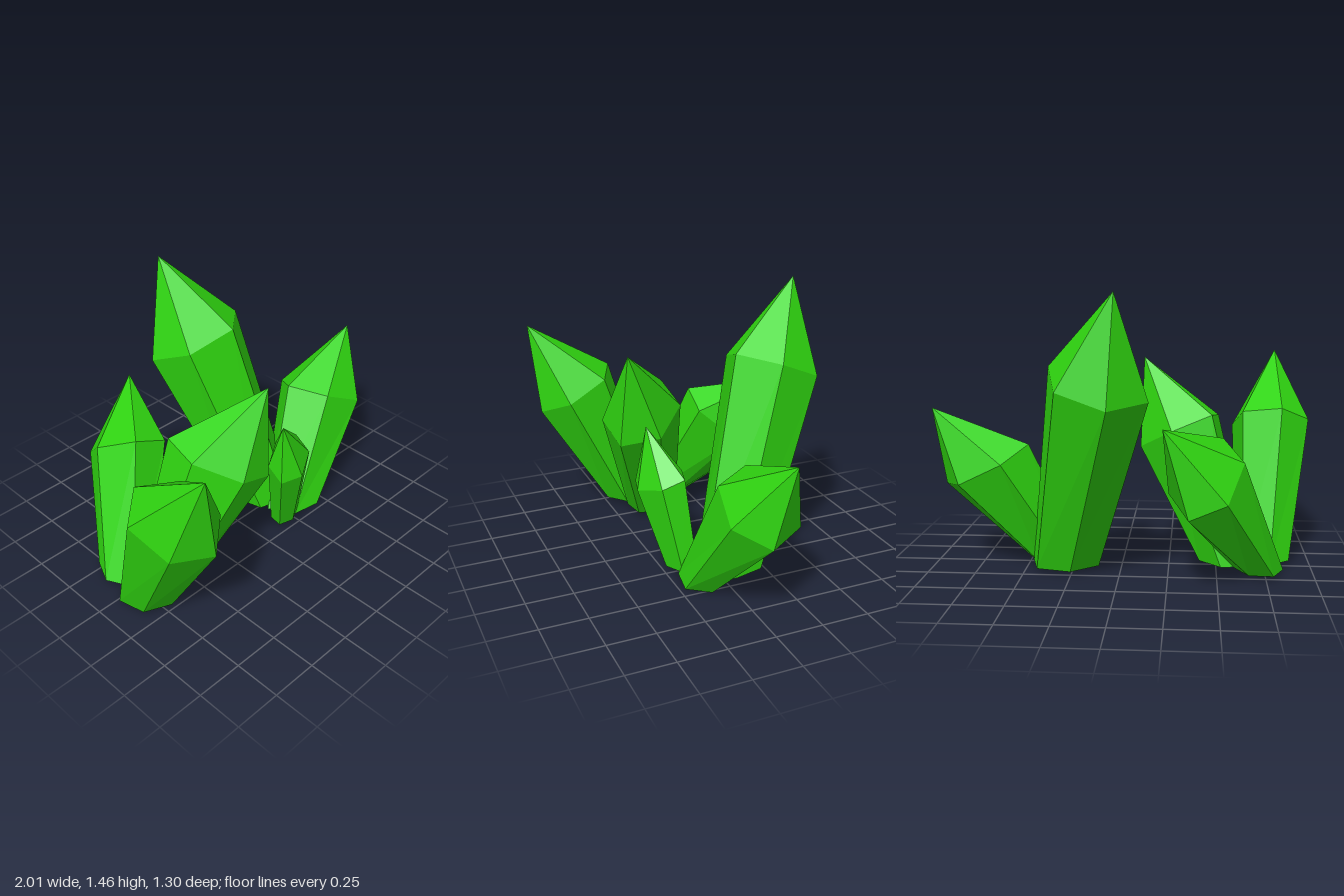
import * as THREE from 'three';

// Each crystal: shoulder hexagon (centre plus two edge vectors u, v), tip,
// and a smaller hexagonal foot lying flat on the ground.
const CRYSTALS = [
  { name: 'frontRightCrystal', centre: [-0.80, 0.72, 0.39], u: [-0.155, -0.075, 0.13], v: [-0.05, 0.105, -0.22],
    tip: [-0.84, 1.11, 0.645], foot: [-0.75, 0.02, 0.09], taper: 0.68 },
  { name: 'frontMiddleCrystal', centre: [-0.30, 0.70, 0.165], u: [-0.21, 0.085, 0.03], v: [0.04, 0.025, -0.215],
    tip: [-0.10, 1.09, 0.31], foot: [-0.55, 0.02, 0.02], taper: 0.66 },
  { name: 'backRightCrystal', centre: [-0.44, 0.55, -0.40], u: [-0.10, -0.09, -0.20], v: [-0.085, 0.17, 0.19],
    tip: [-0.23, 0.82, -0.605], foot: [-0.72, 0.02, -0.13], taper: 0.68 },
  { name: 'leaningLeftCrystal', centre: [0.72, 0.54, -0.04], u: [-0.11, 0.03, -0.20], v: [-0.12, 0.085, 0.16],
    tip: [1.0, 0.845, -0.085], foot: [0.36, 0, 0.08], taper: 0.7 },
  { name: 'tallBackCrystal', centre: [0.09, 1.01, -0.42], u: [0.06, 0.105, 0.235], v: [0.19, -0.025, -0.17],
    tip: [0.0, 1.455, -0.585], foot: [0.295, 0.02, -0.09], taper: 0.72 },
  { name: 'smallFrontCrystal', centre: [0.15, 0.49, 0.24], u: [-0.02, -0.045, 0.115], v: [0.145, 0.045, -0.08],
    tip: [0.055, 0.757, 0.275], foot: [0.225, 0.02, 0.155], taper: 0.68 },
];

function crystalGeometry({ centre, u, v, tip, foot, taper }) {
  const vec = (a) => new THREE.Vector3(...a);
  let a = vec(u), b = vec(v);
  if (a.z * b.x - a.x * b.z < 0) [a, b] = [b, a]; // keep rings counter-clockwise from above

  // Six corner offsets of the hexagon
  const half = [a, a.clone().add(b), b];
  const offsets = [...half, ...half.map((p) => p.clone().negate())];
  const shoulder = offsets.map((o) => vec(centre).add(o));
  const base = offsets.map((o) => vec(foot).add(new THREE.Vector3(o.x * taper, 0, o.z * taper)));
  const top = vec(tip), bottom = vec(foot);

  const points = [];
  for (let i = 0; i < 6; i++) {
    const j = (i + 1) % 6;
    points.push(base[i], base[j], shoulder[j], base[i], shoulder[j], shoulder[i]); // side
    points.push(shoulder[i], shoulder[j], top); // pointed end
    points.push(base[j], base[i], bottom); // underside
  }
  const geometry = new THREE.BufferGeometry().setFromPoints(points);
  geometry.computeVertexNormals();
  return geometry;
}

export function createModel() {
  const group = new THREE.Group();
  group.name = 'crystalCluster';
  const green = new THREE.MeshStandardMaterial({ color: 0x2fd410, flatShading: true });
  green.name = 'crystalGreen';

  for (const crystal of CRYSTALS) {
    const mesh = new THREE.Mesh(crystalGeometry(crystal), green);
    mesh.name = crystal.name;
    group.add(mesh);
  }
  return group;
}
